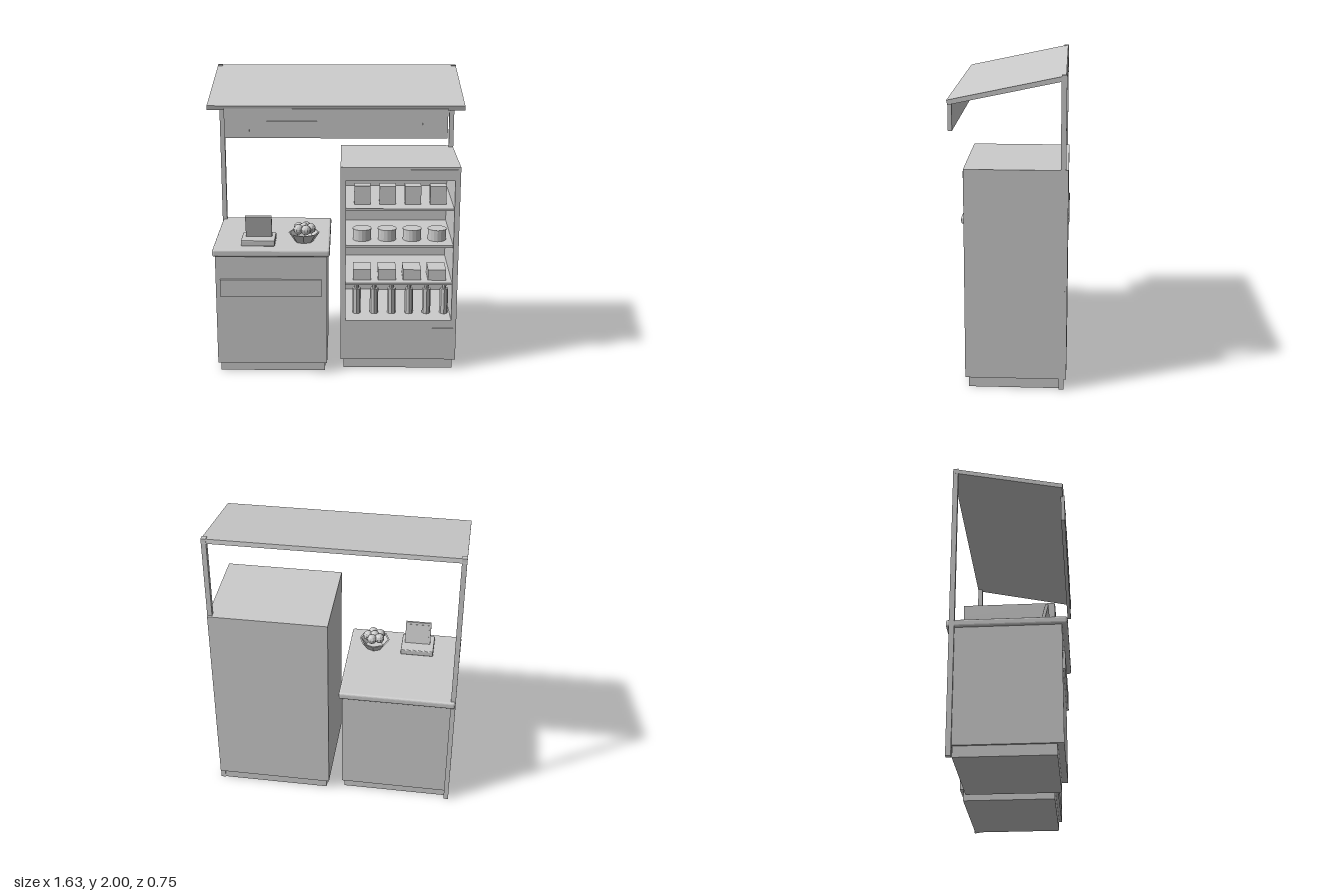
import * as THREE from 'three';
import { RoundedBoxGeometry } from 'three/addons/geometries/RoundedBoxGeometry.js';

export function createModel() {
  const root = new THREE.Group();
  const mat = new THREE.MeshStandardMaterial({ color: 0xcccccc, flatShading: true });
  const thinMat = new THREE.MeshStandardMaterial({ color: 0xcccccc, flatShading: true, side: THREE.DoubleSide });

  const add = (name, geo, x, y, z, parent = root, material = mat) => {
    const mesh = new THREE.Mesh(geo, material);
    mesh.name = name;
    mesh.position.set(x, y, z);
    parent.add(mesh);
    return mesh;
  };
  // Box given by its limits on each axis
  const box = (name, x0, x1, y0, y1, z0, z1, parent = root) =>
    add(name, new THREE.BoxGeometry(x1 - x0, y1 - y0, z1 - z0),
      (x0 + x1) / 2, (y0 + y1) / 2, (z0 + z1) / 2, parent);
  const rounded = (name, x0, x1, y0, y1, z0, z1, r, parent = root) =>
    add(name, new RoundedBoxGeometry(x1 - x0, y1 - y0, z1 - z0, 2, r),
      (x0 + x1) / 2, (y0 + y1) / 2, (z0 + z1) / 2, parent);
  const group = (name) => {
    const g = new THREE.Group();
    g.name = name;
    root.add(g);
    return g;
  };

  // Counter
  const counter = group('counter');
  box('counterPlinth', -0.785, -0.075, 0, 0.07, -0.32, 0.3, counter);
  box('counterBody', -0.8, -0.06, 0.07, 0.845, -0.345, 0.34, counter);
  box('counterFrontPanel', -0.77, -0.095, 0.555, 0.675, 0.34, 0.355, counter);
  rounded('counterTop', -0.815, -0.04, 0.84, 0.89, -0.375, 0.375, 0.014, counter);

  // Display cabinet, hollow and open at the front
  const cabinet = group('displayCabinet');
  box('cabinetPlinth', 0.05, 0.795, 0, 0.07, -0.35, 0.25, cabinet);
  box('cabinetBase', 0.03, 0.815, 0.07, 0.355, -0.37, 0.27, cabinet);
  box('cabinetTop', 0.03, 0.815, 1.335, 1.425, -0.37, 0.27, cabinet);
  box('cabinetRightSide', 0.03, 0.065, 0.355, 1.335, -0.37, 0.27, cabinet);
  box('cabinetLeftSide', 0.78, 0.815, 0.355, 1.335, -0.37, 0.27, cabinet);
  box('cabinetBack', 0.065, 0.78, 0.355, 1.335, -0.37, -0.33, cabinet);
  box('headerTrim', 0.05, 0.795, 1.36, 1.41, 0.27, 0.273, cabinet);
  box('lowerTrim', 0.05, 0.795, 0.13, 0.3, 0.27, 0.273, cabinet);
  for (const y of [0.62, 0.885, 1.14]) {
    box('shelf', 0.065, 0.78, y - 0.015, y, -0.33, 0.255, cabinet);
  }

  // Goods on the shelves
  const goods = group('goods');
  for (let i = 0; i < 4; i++) {
    const x = 0.175 + i * 0.169;
    box('tallCarton', x - 0.054, x + 0.054, 1.14, 1.265, 0.07, 0.15, goods);
    add('tin', new THREE.CylinderGeometry(0.062, 0.062, 0.07, 16), x, 0.92, 0.11, goods);
    add('tinLid', new THREE.CylinderGeometry(0.064, 0.064, 0.008, 16), x, 0.959, 0.11, goods);
    box('flatCarton', x - 0.061, x + 0.061, 0.62, 0.695, 0.04, 0.2, goods);
  }
  for (let i = 0; i < 6; i++) {
    const x = 0.14 + i * 0.12;
    add('bottle', new THREE.CylinderGeometry(0.029, 0.029, 0.18, 8), x, 0.445, 0.12, goods);
    add('bottleNeck', new THREE.CylinderGeometry(0.015, 0.015, 0.03, 8), x, 0.55, 0.12, goods);
  }

  // Posts and sloping canopy
  for (const side of [-1, 1]) {
    const x = side * 0.801;
    box('canopyPost', x - 0.016, x + 0.016, 0, 2, -0.355, -0.322);
  }
  const canopy = add('canopy', new THREE.BoxGeometry(1.635, 0.03, 0.73), 0, 1.908, 0.004);
  canopy.rotation.x = Math.atan2(0.15, 0.71);

  // Hanging sign board with blank raised plates
  const sign = group('signBoard');
  box('board', -0.71, 0.71, 1.64, 1.83, 0.345, 0.37, sign);
  box('centrePlate', -0.44, 0.44, 1.69, 1.75, 0.37, 0.374, sign);
  for (const x of [-0.585, 0.585]) {
    box('endPlate', x - 0.035, x + 0.035, 1.68, 1.76, 0.37, 0.374, sign);
  }

  // Till with a screen facing the back of the counter
  const till = group('till');
  rounded('tillBase', -0.63, -0.405, 0.89, 0.932, 0.11, 0.3, 0.008, till);
  const screen = add('tillScreen', new THREE.BoxGeometry(0.175, 0.155, 0.02), -0.515, 1.007, 0.222, till);
  screen.rotation.x = 0.24;
  add('screenPanel', new THREE.BoxGeometry(0.15, 0.125, 0.004), 0, 0, -0.011, screen);

  // Fruit bowl
  const bowl = group('fruitBowl');
  bowl.position.set(-0.215, 0.89, 0.18);
  const profile = [[0, 0.002], [0.062, 0.002], [0.105, 0.064], [0.094, 0.064], [0.056, 0.014], [0, 0.014]];
  add('bowl', new THREE.LatheGeometry(profile.map(([r, y]) => new THREE.Vector2(r, y)), 8), 0, 0, 0, bowl, thinMat);
  const fruit = new THREE.SphereGeometry(0.034, 10, 7);
  for (let i = 0; i < 5; i++) {
    const a = (i / 5) * Math.PI * 2;
    add('fruit', fruit, Math.cos(a) * 0.045, 0.09, Math.sin(a) * 0.045, bowl);
  }
  add('fruit', fruit, 0, 0.095, 0, bowl);

  return root;
}
